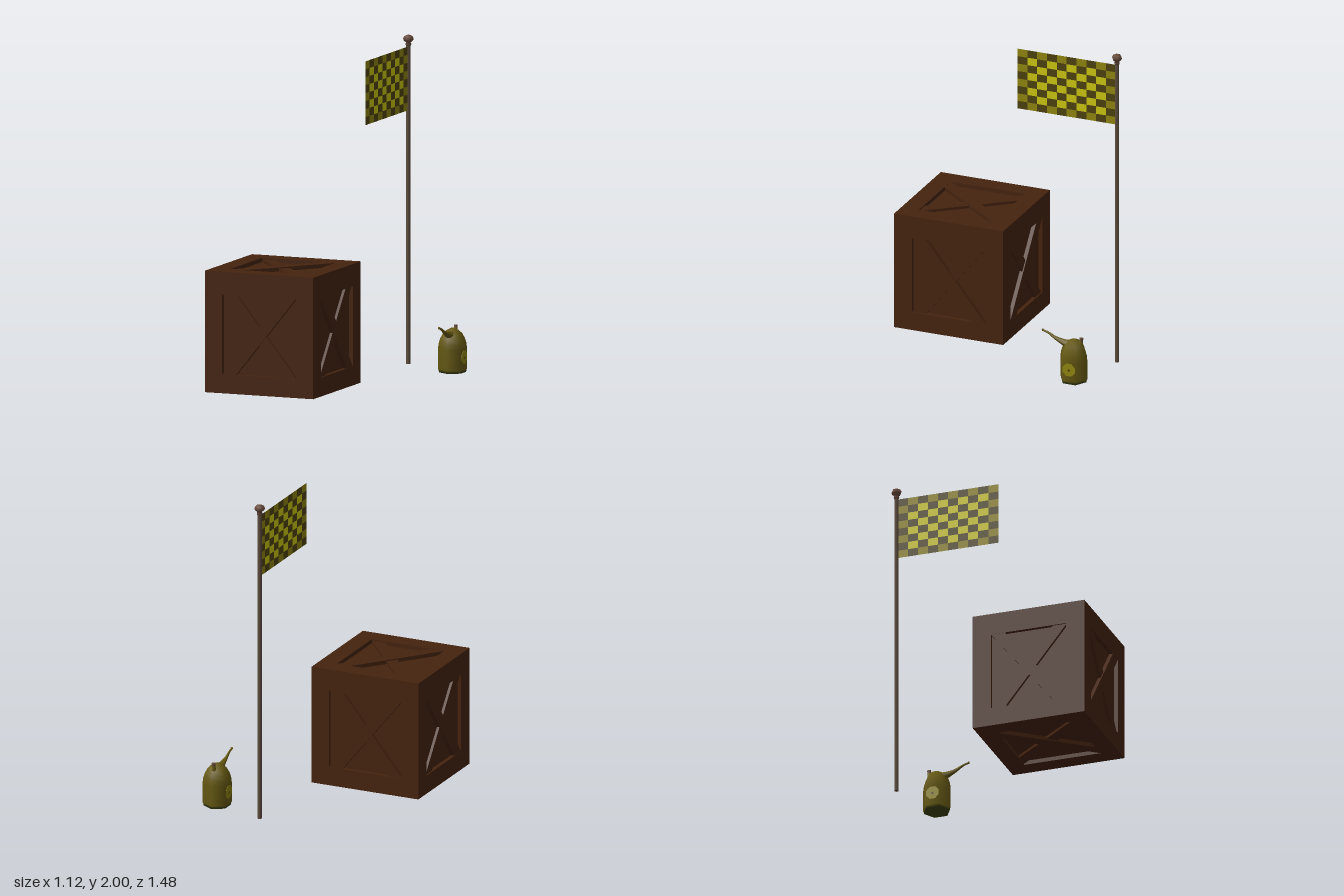
import * as THREE from 'three';

const mat = (name, color, side = THREE.FrontSide) => {
  const m = new THREE.MeshStandardMaterial({ color, side });
  m.name = name;
  return m;
};

function add(parent, name, geometry, material, x = 0, y = 0, z = 0) {
  const mesh = new THREE.Mesh(geometry, material);
  mesh.name = name;
  mesh.position.set(x, y, z);
  parent.add(mesh);
  return mesh;
}

function group(parent, name, x, y, z) {
  const g = new THREE.Group();
  g.name = name;
  g.position.set(x, y, z);
  parent.add(g);
  return g;
}

const polygon = (pts) => new THREE.Shape(pts.map((p) => new THREE.Vector2(...p)));
const rect = (w, h, y = 0) => [[-w, y - h], [w, y - h], [w, y + h], [-w, y + h]];
const extrude = (shape, depth) => new THREE.ExtrudeGeometry(shape, { depth, bevelEnabled: false });
const lathe = (pts, sides) => new THREE.LatheGeometry(pts.map((p) => new THREE.Vector2(...p)), sides);

// Wooden crate: inner box plus a recessed frame and crossed braces on each face
function buildCrate(root, wood) {
  const W = 0.3535, H = 0.3675, D = 0.355, deep = 0.025, a = 0.24, b = 0.242, end = 0.09;
  const crate = group(root, 'crate', -0.2085, H, 0.385);
  const inner = (v) => 2 * (v - deep);
  add(crate, 'crateInnerBox', new THREE.BoxGeometry(inner(W), inner(H), inner(D)), wood);
  // name, rotation x, rotation y, half width, half height, distance, brace direction
  const faces = [
    ['front', 0, 0, W, H, D, 1], ['back', 0, Math.PI, W, H, D, 1],
    ['left', 0, Math.PI / 2, D, H, W, -1], ['right', 0, -Math.PI / 2, D, H, W, -1],
    ['top', -Math.PI / 2, 0, W, D, H, 1], ['bottom', Math.PI / 2, 0, W, D, H, 1],
  ];
  for (const [name, rx, ry, w, h, dist, dir] of faces) {
    const face = group(crate, name + 'Face', 0, 0, 0);
    face.rotation.set(rx, ry, 0);
    const cy = rx ? 0 : -0.01;
    const frame = polygon(rect(w, h));
    frame.holes.push(polygon(rect(a, b, cy)));
    add(face, name + 'Frame', extrude(frame, deep), wood, 0, 0, dist - deep);
    const brace = (s) => polygon([
      [-a * s, cy - b], [(-a + end) * s, cy - b], [a * s, cy + b], [(a - end) * s, cy + b],
    ]);
    add(face, name + 'UpperBrace', extrude(brace(dir), deep - 0.001), wood, 0, 0, dist - deep);
    add(face, name + 'LowerBrace', extrude(brace(-dir), deep - 0.008), wood, 0, 0, dist - deep);
  }
}

// Flagpole with a turned knob and a checkered flag
function buildFlag(root, m) {
  const flag = group(root, 'flagpole', 0.137, 0, -0.708);
  add(flag, 'pole', new THREE.CylinderGeometry(0.0135, 0.0135, 1.935, 6), m.pole, 0, 0.9775, 0);
  add(flag, 'knob', lathe([
    [0, 1.935], [0.015, 1.936], [0.018, 1.946], [0.014, 1.956], [0.028, 1.967],
    [0.032, 1.979], [0.025, 1.994], [0.012, 2], [0, 2],
  ], 6), m.knob);

  const cols = 10, rows = 8;
  const cloth = new THREE.PlaneGeometry(0.64, 0.386, cols, rows);
  for (let r = 0; r < rows; r++) {
    for (let c = 0; c < cols; c++) {
      const edge = r === 0 || c === 0 || r === rows - 1 || c === cols - 1;
      cloth.addGroup((r * cols + c) * 6, 6, (r + c) % 2 ? 0 : edge ? 1 : 2);
    }
  }
  const mesh = add(flag, 'checkeredFlag', cloth, [m.check, m.ochre, m.yellow], 0, 1.738, 0.328);
  mesh.rotation.y = Math.PI / 2;
}

// Tapered spout: rings swept along a curve in the y-z plane
function spoutGeometry() {
  const curve = new THREE.CatmullRomCurve3([
    [0.005, 0.222], [0.07, 0.237], [0.125, 0.258], [0.165, 0.281], [0.205, 0.294],
  ].map(([z, y]) => new THREE.Vector3(0, y, z)));
  const steps = 14, sides = 8;
  const geo = new THREE.TubeGeometry(curve, steps, 1, sides);
  const pos = geo.attributes.position, v = new THREE.Vector3();
  for (let i = 0; i <= steps; i++) {
    const t = i / steps, center = curve.getPointAt(t);
    const radius = 0.006 + 0.031 * (1 - t) ** 2.2;
    for (let j = 0; j <= sides; j++) {
      const k = i * (sides + 1) + j;
      v.fromBufferAttribute(pos, k).sub(center).multiplyScalar(radius).add(center);
      pos.setXYZ(k, v.x, v.y, v.z);
    }
  }
  geo.computeVertexNormals();
  return geo;
}

// Six-sided oil can with spout, filler cap and side labels
function buildCan(root, m) {
  const can = group(root, 'oilCan', 0.482, 0, -0.576);
  add(can, 'canBase', lathe([[0, 0], [0.082, 0], [0.084, 0.014]], 6), m.base);
  add(can, 'canBody', lathe([
    [0.084, 0.012], [0.088, 0.022], [0.088, 0.14], [0.084, 0.175], [0.075, 0.205],
    [0.058, 0.235], [0.034, 0.257], [0.012, 0.267], [0, 0.268],
  ], 6), m.can);
  add(can, 'spout', spoutGeometry(), m.can);
  const tip = add(can, 'spoutTip', new THREE.SphereGeometry(0.008, 8, 6), m.can, 0, 0.294, 0.203);
  tip.scale.z = 0.7;

  const cap = group(can, 'fillerCap', 0, 0.215, -0.042);
  cap.rotation.x = -0.12;
  add(cap, 'capNeck', new THREE.CylinderGeometry(0.01, 0.018, 0.05, 8), m.can, 0, 0.025, 0);
  add(cap, 'capTop', new THREE.CylinderGeometry(0.012, 0.012, 0.016, 8), m.knob, 0, 0.058, 0);

  for (const s of [-1, 1]) {
    const label = add(can, 'label', new THREE.CylinderGeometry(0.043, 0.043, 0.004, 8), m.ochre, s * 0.0765, 0.095, 0);
    label.rotation.set(Math.PI / 8, 0, Math.PI / 2);
    const dot = add(can, 'labelDot', new THREE.CylinderGeometry(0.008, 0.008, 0.004, 6), m.check, s * 0.078, 0.092, 0);
    dot.rotation.z = Math.PI / 2;
  }
}

export function createModel() {
  const root = new THREE.Group();
  root.name = 'crateFlagAndOilCan';
  const m = {
    wood: mat('crateWood', 0x45230f),
    pole: mat('poleBrown', 0x5e4e3e),
    knob: mat('knobBrown', 0x68493a),
    check: mat('darkOlive', 0x4e4210, THREE.DoubleSide),
    ochre: mat('ochre', 0x8f8410, THREE.DoubleSide),
    yellow: mat('brightYellow', 0xcac610, THREE.DoubleSide),
    can: mat('canOlive', 0x655812),
    base: mat('canBaseGreen', 0x3f4212),
  };
  buildCrate(root, m.wood);
  buildFlag(root, m);
  buildCan(root, m);
  return root;
}
